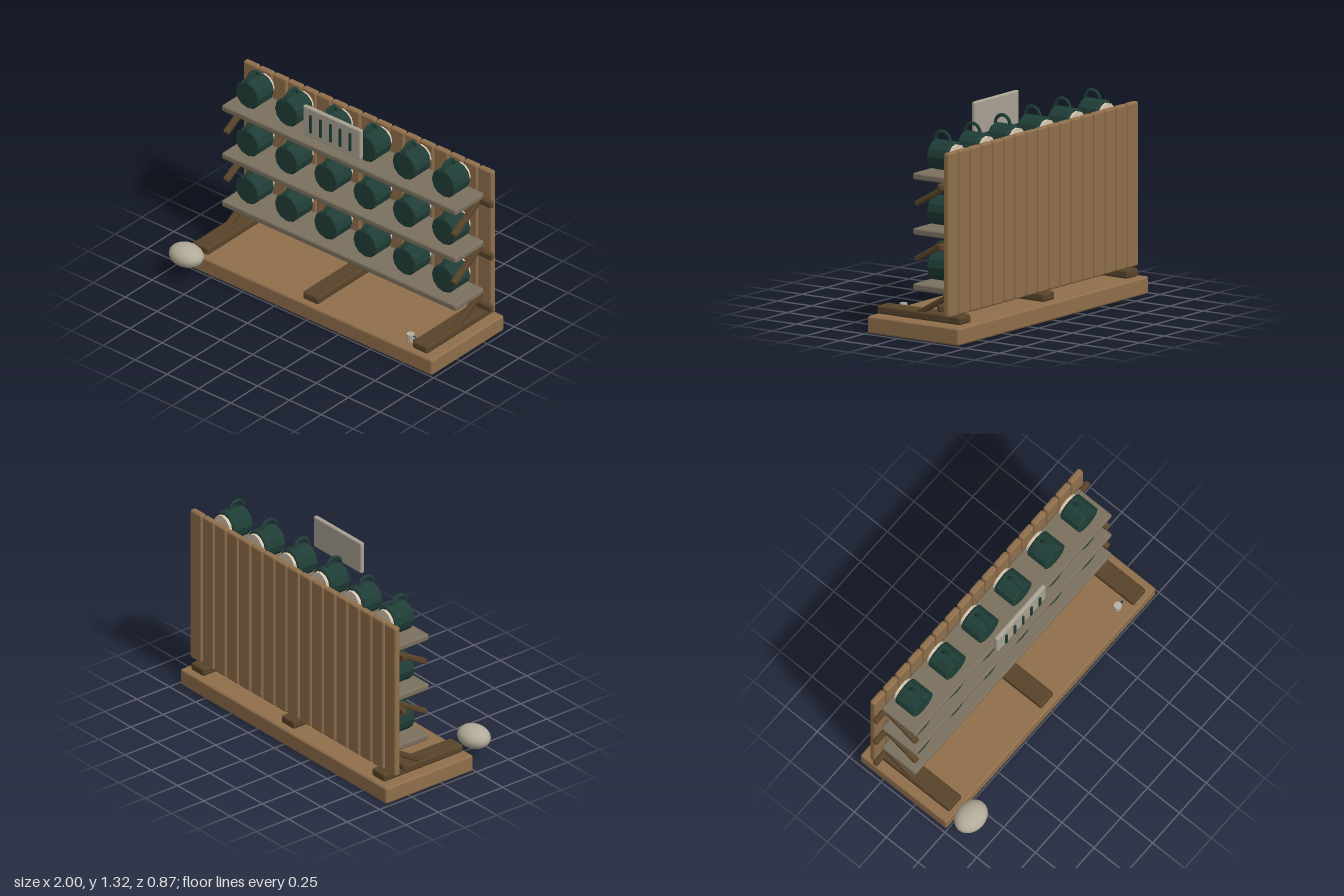
import * as THREE from 'three';
import { RoundedBoxGeometry } from 'three/addons/geometries/RoundedBoxGeometry.js';

function material(name, color, flat = false) {
  const m = new THREE.MeshStandardMaterial({ color, flatShading: flat });
  m.name = name;
  return m;
}

export function createModel() {
  const wood = material('oak wood', 0x8f6e4b);
  const darkWood = material('dark wood', 0x584329);
  const shelfWood = material('weathered shelf wood', 0x7b705f);
  const green = material('dark green glaze', 0x1f3d36, true);
  const cream = material('cream lining', 0xd6c6b0, true);
  const plate = material('sign plate', 0xa9a293);
  const stone = material('pale stone', 0xb3ab99);
  const tin = material('pale cup', 0xb4b0a5, true);

  const model = new THREE.Group();
  model.name = 'mugRack';

  function add(name, geometry, mat, x = 0, y = 0, z = 0, parent = model) {
    const mesh = new THREE.Mesh(geometry, mat);
    mesh.name = name;
    mesh.position.set(x, y, z);
    parent.add(mesh);
    return mesh;
  }
  // Softly bevelled block given by its size and centre
  function block(name, mat, [w, h, d], [x, y, z], r = 0.01) {
    return add(name, new RoundedBoxGeometry(w, h, d, 2, r), mat, x, y, z);
  }

  // Base slab and the three feet lying on it
  block('base', wood, [1.96, 0.108, 0.676], [0, 0.054, -0.094], 0.014);
  for (const x of [-0.86, 0, 0.86]) {
    block('foot', darkWood, [0.12, 0.052, 0.615], [x, 0.14, -0.092], 0.014);
  }

  // Back wall of upright planks
  const planks = 17;
  const pitch = 1.96 / planks;
  for (let i = 0; i < planks; i++) {
    const x = (i - (planks - 1) / 2) * pitch;
    block('plank', wood, [pitch - 0.007, 1.01, 0.042], [x, 0.668, -0.339], 0.014);
  }

  // Mug: body and lining along z, handle arching over the top
  const bodyProfile = [[0, -0.075], [0.084, -0.075], [0.0935, -0.065],
    [0.0935, 0.066], [0.085, 0.075], [0, 0.075]].map(p => new THREE.Vector2(...p));
  const bodyGeo = new THREE.LatheGeometry(bodyProfile, 12).rotateX(Math.PI / 2);
  const liningGeo = new THREE.CylinderGeometry(0.075, 0.075, 0.03, 12).rotateX(Math.PI / 2);
  const handleGeo = new THREE.TorusGeometry(0.054, 0.011, 6, 12, Math.PI).rotateY(Math.PI / 2);

  function addMug(x, y) {
    const mug = new THREE.Group();
    mug.name = 'mug';
    mug.position.set(x, y, -0.185);
    add('mugBody', bodyGeo, green, 0, 0, 0, mug);
    add('mugLining', liningGeo, cream, 0, 0, -0.08, mug);
    add('mugHandle', handleGeo, green, 0, 0.088, 0.02, mug);
    model.add(mug);
  }

  // Three tiers: rail, shelf, two diagonal braces and six mugs each
  [0.311, 0.65, 0.989].forEach((y, tier) => {
    block('rail', darkWood, [2, 0.045, 0.034], [0, 0.22 + 0.37 * tier, -0.301], 0.012);
    block('shelf', shelfWood, [1.84, 0.042, 0.268], [0, y, -0.183], 0.012);
    for (const side of [-1, 1]) {
      const brace = block('brace', darkWood, [0.04, 0.034, 0.3],
        [side * 0.893, y - 0.098, -0.188], 0.01);
      brace.rotation.x = Math.PI / 6;
    }
    for (let i = 0; i < 6; i++) addMug((i - 2.5) * 0.308, y + 0.121);
  });

  // Sign plate with five raised dark bars
  block('sign', plate, [0.456, 0.208, 0.03], [0, 1.22, 0], 0.012);
  for (let i = -2; i <= 2; i++) {
    add('signBar', new THREE.BoxGeometry(0.016, 0.124, 0.009), green, i * 0.0775, 1.222, 0.0255);
  }

  // Rounded stone in front of the left corner
  const pebble = add('stone', new THREE.SphereGeometry(1, 24, 16), stone, -0.865, 0.158, 0.341);
  pebble.scale.set(0.115, 0.069, 0.092);

  // Small cup standing on the base
  add('smallCup', new THREE.CylinderGeometry(0.025, 0.022, 0.05, 12), tin, 0.735, 0.133, 0.15);
  add('smallCupHandle', new THREE.TorusGeometry(0.014, 0.004, 6, 12), green, 0.766, 0.135, 0.15);

  return model;
}
